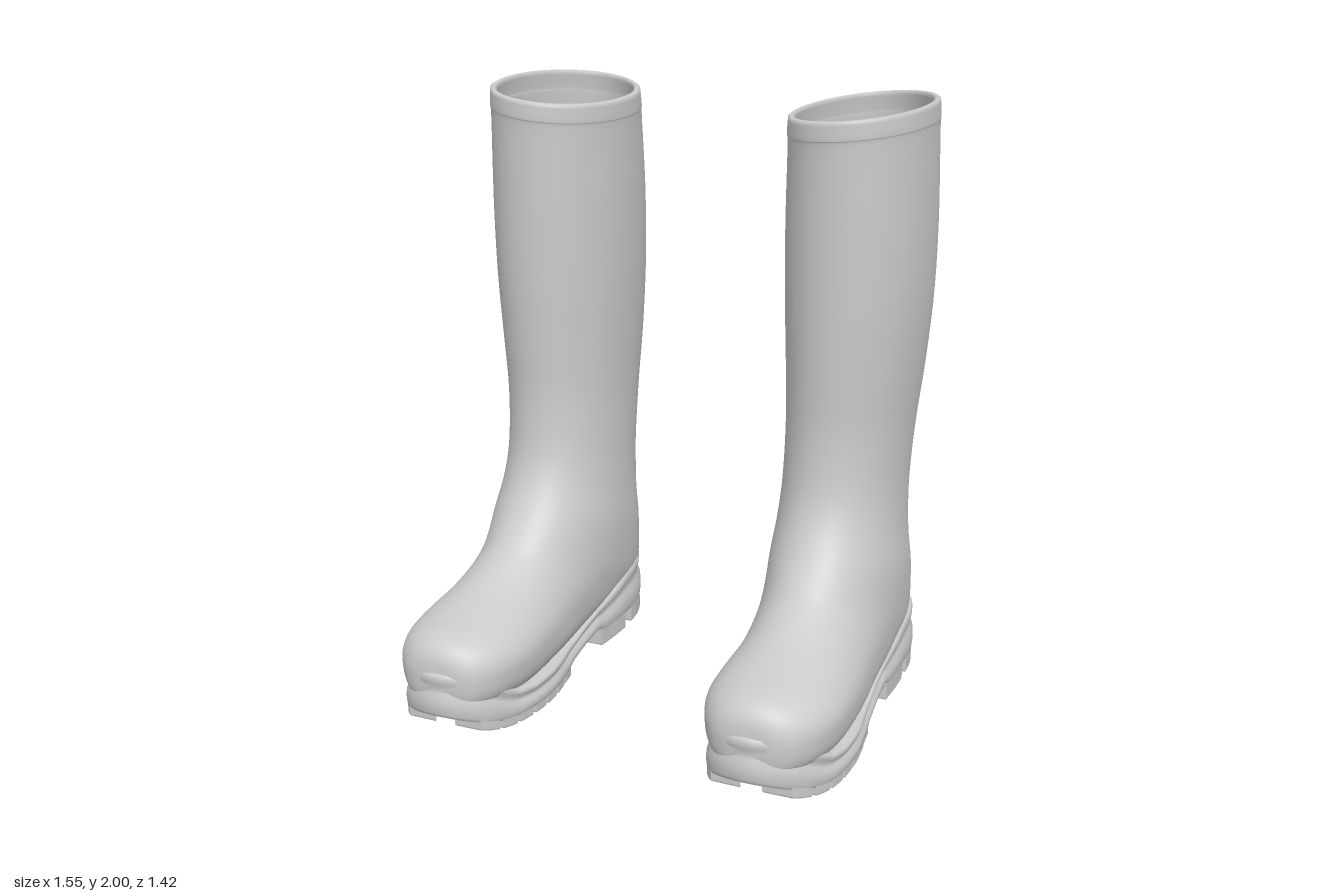
import * as THREE from 'three';
import { mergeVertices, mergeGeometries } from 'three/addons/utils/BufferGeometryUtils.js';

const V = (x, y, z) => new THREE.Vector3(x, y, z);
const material = new THREE.MeshStandardMaterial({ color: 0xcccccc, side: THREE.DoubleSide });

// Piecewise linear lookup in [[position, value], ...]
function lookup(keys, p) {
  if (p <= keys[0][0]) return keys[0][1];
  for (let i = 1; i < keys.length; i++) {
    const [a, va] = keys[i - 1], [b, vb] = keys[i];
    if (p <= b) return va + (vb - va) * (p - a) / (b - a);
  }
  return keys[keys.length - 1][1];
}

// Skin over a list of closed rings with equal point counts
function loft(rows) {
  const n = rows[0].length, index = [];
  for (let i = 0; i < rows.length - 1; i++)
    for (let j = 0; j < n; j++) {
      const a = i * n + j, b = i * n + (j + 1) % n;
      index.push(a, b, a + n, b, b + n, a + n);
    }
  const geo = new THREE.BufferGeometry().setFromPoints(rows.flat());
  geo.setIndex(index);
  geo.computeVertexNormals();
  return geo;
}

// Sections down the shaft, round the heel and out to the toe:
// front/top z, y, back/bottom z, y, half width, centre x, squareness of lower half
const SECTIONS = [
  [0, 1.972, -0.665, 1.978, 0.231, 0.53, 2],
  [0.002, 1.92, -0.675, 1.92, 0.234, 0.53, 2],
  [-0.002, 1.88, -0.678, 1.88, 0.232, 0.53, 2],
  [-0.004, 1.6, -0.702, 1.6, 0.237, 0.53, 2],
  [-0.008, 1.35, -0.71, 1.35, 0.233, 0.529, 2],
  [-0.016, 1.13, -0.692, 1.1, 0.22, 0.525, 2],
  [-0.02, 0.95, -0.652, 0.88, 0.207, 0.52, 2],
  [-0.003, 0.78, -0.618, 0.66, 0.203, 0.517, 2],
  [0.032, 0.67, -0.604, 0.47, 0.21, 0.518, 2.1],
  [0.095, 0.57, -0.608, 0.31, 0.223, 0.522, 2.3],
  [0.18, 0.48, -0.59, 0.13, 0.222, 0.525, 2.5],
  [0.25, 0.435, -0.4, 0.08, 0.214, 0.53, 2.7],
  [0.34, 0.395, -0.1, 0.07, 0.212, 0.537, 2.9],
  [0.43, 0.37, 0.15, 0.07, 0.223, 0.54, 3],
  [0.52, 0.352, 0.4, 0.07, 0.221, 0.54, 3],
  [0.595, 0.34, 0.56, 0.08, 0.19, 0.54, 3],
  [0.65, 0.32, 0.645, 0.09, 0.145, 0.538, 2.8],
  [0.683, 0.28, 0.68, 0.11, 0.095, 0.537, 2.5],
  [0.695, 0.22, 0.695, 0.16, 0.03, 0.535, 2]
];

function upperGeometry() {
  const spline = (i, j, k) => new THREE.CatmullRomCurve3(
    SECTIONS.map(s => V(s[i], s[j], s[k])), false, 'catmullrom', 0.5);
  const front = spline(0, 1, 4), back = spline(2, 3, 5);
  const square = SECTIONS.map((s, i) => [i / (SECTIONS.length - 1), s[6]]);
  const ring = (t, inset, rise = 0) => {
    const f = front.getPoint(t), b = back.getPoint(t), nl = lookup(square, t);
    const dz = (f.x - b.x) / 2, dy = (f.y - b.y) / 2;
    const k = 1 - inset / Math.hypot(dz, dy), w = Math.max(f.z - inset, 0.004);
    return Array.from({ length: 64 }, (_, j) => {
      const a = j / 64 * Math.PI * 2, c = Math.cos(a), s = Math.sin(a), n = s > 0 ? 2.1 : nl;
      const u = w * Math.sign(c) * Math.abs(c) ** (2 / n);
      const v = k * Math.sign(s) * Math.abs(s) ** (2 / n);
      const y = (f.y + b.y) / 2 + dy * v + rise;
      // The rim slopes down towards the inner leg
      const tilt = 0.1 * THREE.MathUtils.smoothstep(y, 1.6, 1.95);
      return V(b.z + u, y + u * tilt, (f.x + b.x) / 2 + dz * v);
    });
  };
  const rows = [], steps = 100;
  for (let i = steps; i >= 0; i--) rows.push(ring(i / steps, 0.022));
  rows.push(ring(0, 0.016, 0.005), ring(0, 0.006, 0.004));
  for (let i = 0; i <= steps; i++) rows.push(ring(i / steps, 0));
  return loft(rows);
}

// Sole outline from the heel, up the outer side to the toe and back along the inner side
const N = 144;
const OUTLINE = new THREE.CatmullRomCurve3([
  [0.53, -0.615], [0.66, -0.575], [0.738, -0.45], [0.752, -0.28], [0.745, -0.05], [0.757, 0.14],
  [0.775, 0.33], [0.75, 0.51], [0.668, 0.655], [0.535, 0.71], [0.402, 0.655], [0.325, 0.48],
  [0.303, 0.31], [0.323, 0.12], [0.325, -0.05], [0.304, -0.28], [0.32, -0.45], [0.398, -0.575]
].map(([x, z]) => V(x, 0, z)), true).getSpacedPoints(N).slice(0, N);

const TOP = [[-0.62, 0.245], [-0.45, 0.228], [-0.29, 0.2], [-0.17, 0.168], [-0.05, 0.138], [0.08, 0.115],
  [0.2, 0.105], [0.42, 0.105], [0.5, 0.118], [0.56, 0.15], [0.62, 0.195], [0.67, 0.22], [0.71, 0.23]];
const BASE = [[-0.13, 0.055], [-0.1, 0.072], [0.12, 0.042], [0.16, 0.026]];
const lift = z => (z > 0.48 ? ((z - 0.48) / 0.22) ** 2 * 0.05 : 0);
const base = z => lookup(BASE, z) + lift(z);

function soleGeometry() {
  const ring = (f, inset, rise = 0) => OUTLINE.map((p, i) => {
    const t = OUTLINE[(i + 1) % N].clone().sub(OUTLINE[(i + N - 1) % N]).normalize();
    const y = base(p.z) + (lookup(TOP, p.z) - base(p.z)) * f + rise;
    return V(p.x - t.z * inset, y, p.z + t.x * inset);
  });
  // Rolled top edge, groove, side wall and bottom edge as [height share, inset, rise]
  const rows = [[1, 0.07, 0.006], [1, 0.024, 0.005], [1, 0.012, 0], [0.92, 0.006, 0], [0.8, 0.007, 0],
    [0.68, 0.014, 0], [0.56, 0.012, 0], [0.44, 0.002, 0], [0.25, 0, 0], [0.1, 0.002, 0], [0, 0.006, 0.003],
    [0, 0.012, 0], [0, 0.02, 0]].map(r => ring(...r));
  const last = rows[rows.length - 1];
  rows.push(last.map((p, i) => p.clone().add(last[(N - i) % N]).multiplyScalar(0.5)));
  return loft(rows);
}

// Sole edge x at a given z, on the outer (1) or inner (-1) side
function edge(side, z) {
  const half = side > 0 ? OUTLINE.slice(0, N / 2 + 1) : [...OUTLINE.slice(N / 2), OUTLINE[0]].reverse();
  return lookup(half.map(p => [p.z, p.x]), z);
}

// Tread block with plan outline [[x, z], ...] and its lower face at y = bottom
function block(points, bottom, height) {
  const bevel = 0.006;
  const geo = new THREE.ExtrudeGeometry(new THREE.Shape(points.map(([x, z]) => new THREE.Vector2(x, -z))), {
    depth: height - 2 * bevel, bevelThickness: bevel, bevelSize: bevel, bevelSegments: 2, bevelOffset: -bevel
  });
  geo.rotateX(-Math.PI / 2).translate(0, bottom + bevel, 0);
  const pos = geo.attributes.position;
  for (let i = 0; i < pos.count; i++) pos.setY(i, pos.getY(i) + lift(pos.getZ(i)));
  geo.computeVertexNormals();
  return geo;
}

function rimBlock(side, z0, z1, width, height) {
  const outer = [], inner = [];
  for (let i = 0; i <= 8; i++) {
    const z = z0 + (z1 - z0) * i / 8, x = edge(side, z) - side * 0.004;
    const limit = 0.53 + side * 0.03;
    outer.push([x, z]);
    inner.unshift([side > 0 ? Math.max(x - width, limit) : Math.min(x + width, limit), z]);
  }
  return block([...outer, ...inner], 0, height);
}

function treadGeometry() {
  const parts = [];
  for (const side of [1, -1]) {
    // Heel horseshoe with a notch on each side
    parts.push(rimBlock(side, -0.285, -0.115, 0.1, 0.085), rimBlock(side, -0.603, -0.34, 0.11, 0.08));
    // Forefoot blocks
    for (let i = 0; i < 7; i++) parts.push(rimBlock(side, 0.14 + i * 0.075, 0.2 + i * 0.075, 0.1, 0.045));
  }
  // Cross bars under the ball of the foot and inside the heel
  for (let i = 0; i < 7; i++) {
    const z = 0.17 + i * 0.062;
    parts.push(block([[0.44, z], [0.64, z], [0.64, z + 0.028], [0.44, z + 0.028]], 0.01, 0.03));
  }
  parts.push(block([[0.47, -0.2], [0.59, -0.2], [0.57, -0.13], [0.49, -0.13]], 0.005, 0.07));
  return mergeGeometries(parts);
}

// Mirrored copy with its faces still pointing outwards
function mirrored(geo) {
  const copy = geo.index ? geo.clone() : mergeVertices(geo);
  copy.scale(-1, 1, 1);
  const ix = copy.index.array;
  for (let i = 0; i < ix.length; i += 3) [ix[i], ix[i + 1]] = [ix[i + 1], ix[i]];
  return copy;
}

export function createModel() {
  const model = new THREE.Group();
  model.name = 'rubberBoots';
  const parts = { upper: upperGeometry(), sole: soleGeometry(), tread: treadGeometry() };
  for (const side of ['left', 'right']) {
    const boot = new THREE.Group();
    boot.name = side + 'Boot';
    for (const [name, geo] of Object.entries(parts)) {
      const mesh = new THREE.Mesh(side === 'left' ? geo : mirrored(geo), material);
      mesh.name = name;
      boot.add(mesh);
    }
    model.add(boot);
  }
  return model;
}
